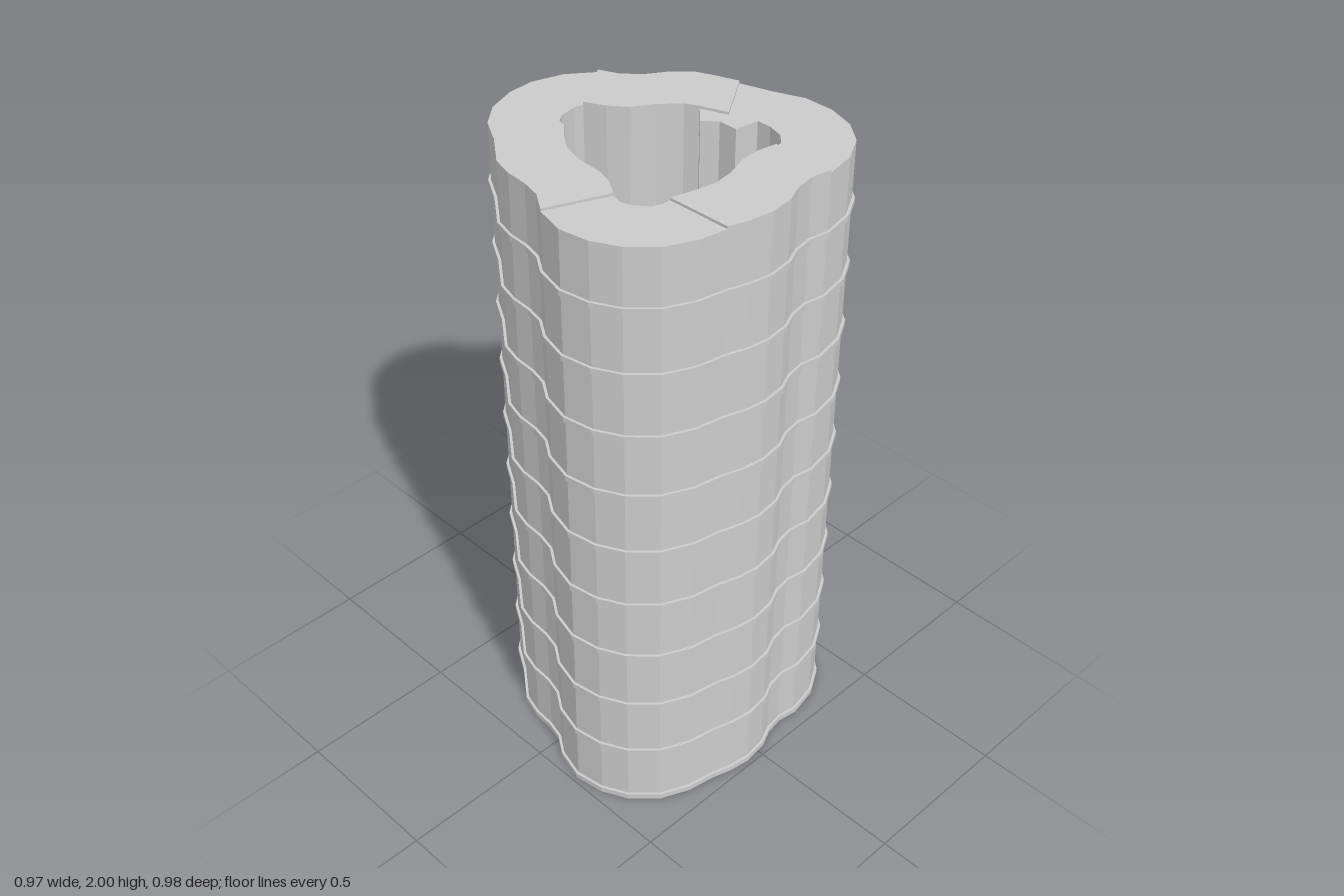
import * as THREE from 'three';

// Plan outlines as x, z pairs, starting at the back and going round via +x
const OUTER = [
  0, -.49, .10, -.46, .18, -.40, .205, -.34, .25, -.29, .315, -.25, .365, -.20, .39, -.14, .415, -.07,
  .445, .03, .48, .12, .48, .22, .45, .31, .395, .38, .31, .43, .21, .45, .145, .44, .085, .45,
  .03, .475, -.05, .485, -.12, .475, -.185, .455, -.27, .44, -.36, .40, -.43, .33, -.47, .25, -.485, .155,
  -.46, .06, -.42, 0, -.405, -.06, -.40, -.13, -.38, -.20, -.30, -.305, -.25, -.39, -.18, -.45, -.085, -.485,
];
const INNER = [
  -.02, -.285, .01, -.28, .04, -.22, .08, -.17, .145, -.13, .20, -.08, .22, -.04, .17, .01, .205, .05,
  .205, .11, .28, .12, .28, .165, .265, .215, .235, .245, .21, .25, .15, .24, .085, .245, .015, .27,
  -.05, .28, -.13, .265, -.185, .25, -.21, .25, -.24, .24, -.27, .20, -.28, .17, -.27, .135, -.235, .08,
  -.22, .03, -.215, -.05, -.195, -.12, -.16, -.17, -.11, -.225, -.10, -.255, -.075, -.275,
];
// Raised top blocks: outline indices from start to end, plus any extra corner in the end joint
const BLOCKS = [
  { outer: [2, 8], inner: [1, 6], corner: [.25, .04] },
  { outer: [15, 21], inner: [14, 20], corner: [] },
  { outer: [27, 32], inner: [25, 31], corner: [] },
];

const HEIGHT = 2, STOREYS = 10, STEP = 0.008, BAND = 0.018, LIP = 0.008;

function toPoints(list) {
  const points = [];
  for (let i = 0; i < list.length; i += 2) points.push(new THREE.Vector2(list[i], -list[i + 1]));
  return points;
}

// Outline moved inwards by an even distance
function inset(points, distance) {
  const normal = (a, b) => new THREE.Vector2(b.y - a.y, a.x - b.x).normalize();
  return points.map((p, i) => {
    const before = normal(points.at(i - 1), p);
    const after = normal(p, points[(i + 1) % points.length]);
    const scale = distance / (1 + before.dot(after));
    return before.add(after).multiplyScalar(scale).add(p);
  });
}

export function createModel() {
  const model = new THREE.Group();
  const material = new THREE.MeshStandardMaterial({ color: 0xcccccc, flatShading: true });

  // Upright prism of a clockwise plan outline, with an optional hole
  function addPrism(name, outline, hole, y, height) {
    const shape = new THREE.Shape([...outline].reverse());
    if (hole) shape.holes.push(new THREE.Path(hole));
    const geometry = new THREE.ExtrudeGeometry(shape, { depth: height, bevelEnabled: false });
    geometry.rotateX(-Math.PI / 2);
    const mesh = new THREE.Mesh(geometry, material);
    mesh.name = name;
    mesh.position.y = y;
    model.add(mesh);
  }

  const rim = toPoints(OUTER);
  const wall = inset(rim, LIP);
  const bandInside = inset(rim, LIP * 1.5);
  const core = toPoints(INNER);

  // Hollow wall, full height
  addPrism('wall', wall, core, 0, HEIGHT - STEP);

  // Thin band at the foot of every storey
  for (let i = 0; i < STOREYS; i++) {
    addPrism('storeyBand', rim, bandInside, i * HEIGHT / STOREYS, BAND);
  }

  // Every other top block stands slightly proud
  for (const { outer, inner, corner } of BLOCKS) {
    const outline = [
      ...wall.slice(outer[0], outer[1] + 1),
      ...toPoints(corner),
      ...core.slice(inner[0], inner[1] + 1).reverse(),
    ];
    addPrism('raisedTopBlock', outline, null, HEIGHT - STEP, STEP);
  }

  return model;
}
